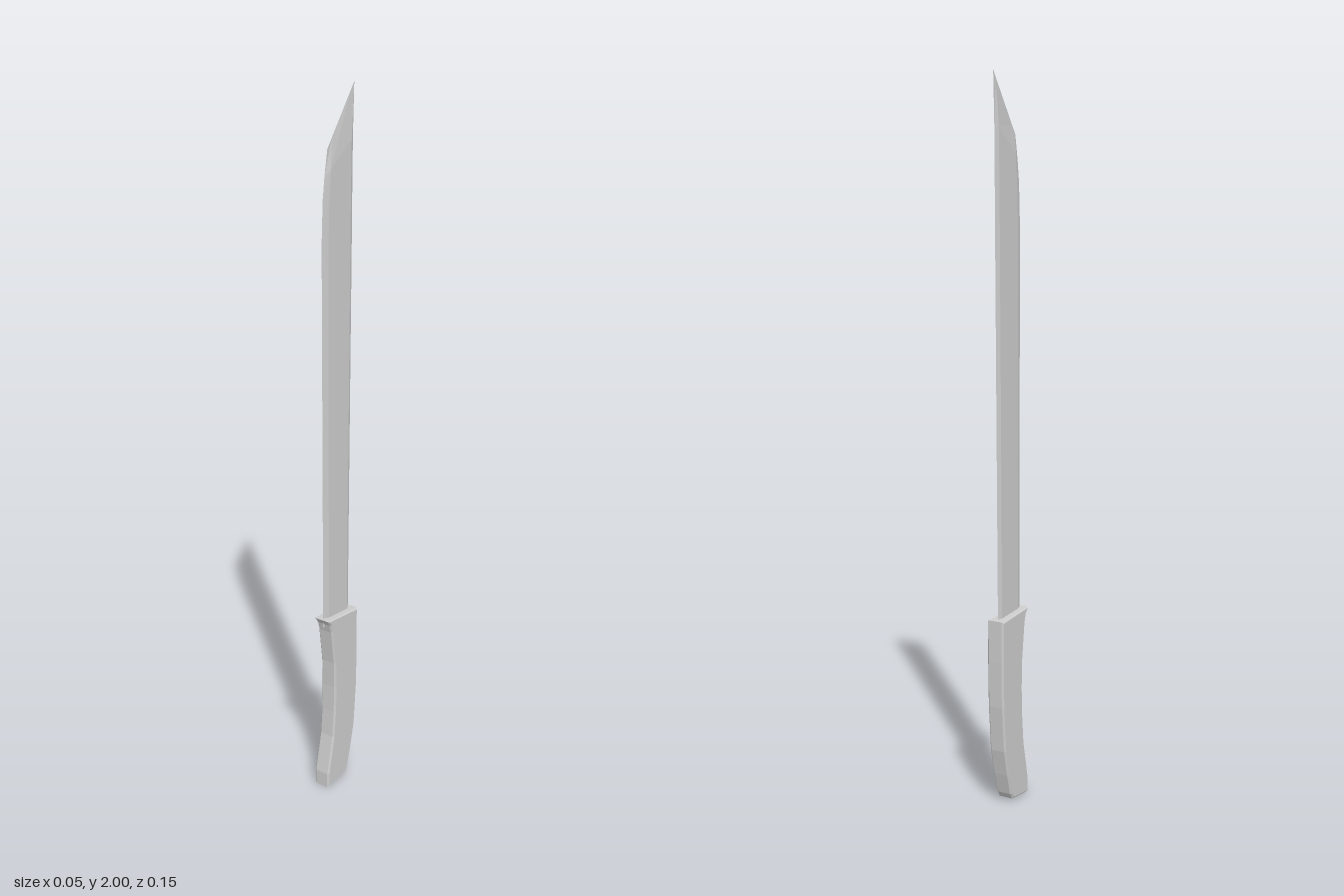
import * as THREE from 'three';

const material = new THREE.MeshStandardMaterial({ color: 0xcccccc, flatShading: true });

// Handle: side profile in [z, y], extruded across x with a small chamfer
function makeHandle() {
  const profile = [
    [0.075, 0], [0.075, 0.045], [0.05, 0.16], [0.043, 0.24], [0.04, 0.32], [0.042, 0.4],
    [0.055, 0.505], [0.062, 0.53], [0.075, 0.548], [-0.068, 0.535], [-0.069, 0.42],
    [-0.066, 0.29], [-0.055, 0.16], [-0.038, 0.085], [-0.021, 0.025], [-0.01, 0.008],
  ];
  const shape = new THREE.Shape(profile.map(([z, y]) => new THREE.Vector2(-z, y)));
  const bevel = 0.005, width = 0.05;
  const geo = new THREE.ExtrudeGeometry(shape, {
    depth: width - 2 * bevel, bevelEnabled: true, bevelSegments: 1,
    bevelSize: bevel, bevelThickness: bevel, bevelOffset: -bevel,
  });
  geo.translate(0, 0, bevel - width / 2);
  geo.rotateY(Math.PI / 2);
  const mesh = new THREE.Mesh(geo, material);
  mesh.name = 'handle';
  return mesh;
}

// Blade: hexagonal sections lofted upward, closing on a slanted sharp tip
function makeBlade() {
  const t = 0.006;
  // [front z, front y, back z, back y, half thickness]
  const rows = [
    [0.065, 0.52, -0.053, 0.52, t],
    [0.065, 1.61, -0.066, 1.61, t],
    [0.06, 1.72, -0.067, 1.72, t],
    [0.052, 1.78, -0.069, 1.87, t],
    [0.04, 1.845, -0.074, 2, 0],
  ];
  const sections = rows.map(([zf, yf, zb, yb, h]) => {
    const at = (k, x) => [x, yf + (yb - yf) * k, zf + (zb - zf) * k];
    return [at(0, 0), at(0.16, h), at(0.89, h), at(1, 0), at(0.89, -h), at(0.16, -h)];
  });
  const positions = [];
  const tri = (a, b, c) => positions.push(...a, ...b, ...c);
  for (let r = 0; r < sections.length - 1; r++) {
    const lo = sections[r], hi = sections[r + 1];
    for (let i = 0; i < 6; i++) {
      const j = (i + 1) % 6;
      tri(lo[i], lo[j], hi[j]);
      tri(lo[i], hi[j], hi[i]);
    }
  }
  // Root cap, hidden inside the handle
  const root = sections[0];
  for (let i = 1; i < 5; i++) tri(root[0], root[i + 1], root[i]);
  const geo = new THREE.BufferGeometry();
  geo.setAttribute('position', new THREE.Float32BufferAttribute(positions, 3));
  geo.computeVertexNormals();
  const mesh = new THREE.Mesh(geo, material);
  mesh.name = 'blade';
  return mesh;
}

export function createModel() {
  const group = new THREE.Group();
  group.name = 'machete';
  group.add(makeHandle(), makeBlade());
  return group;
}
